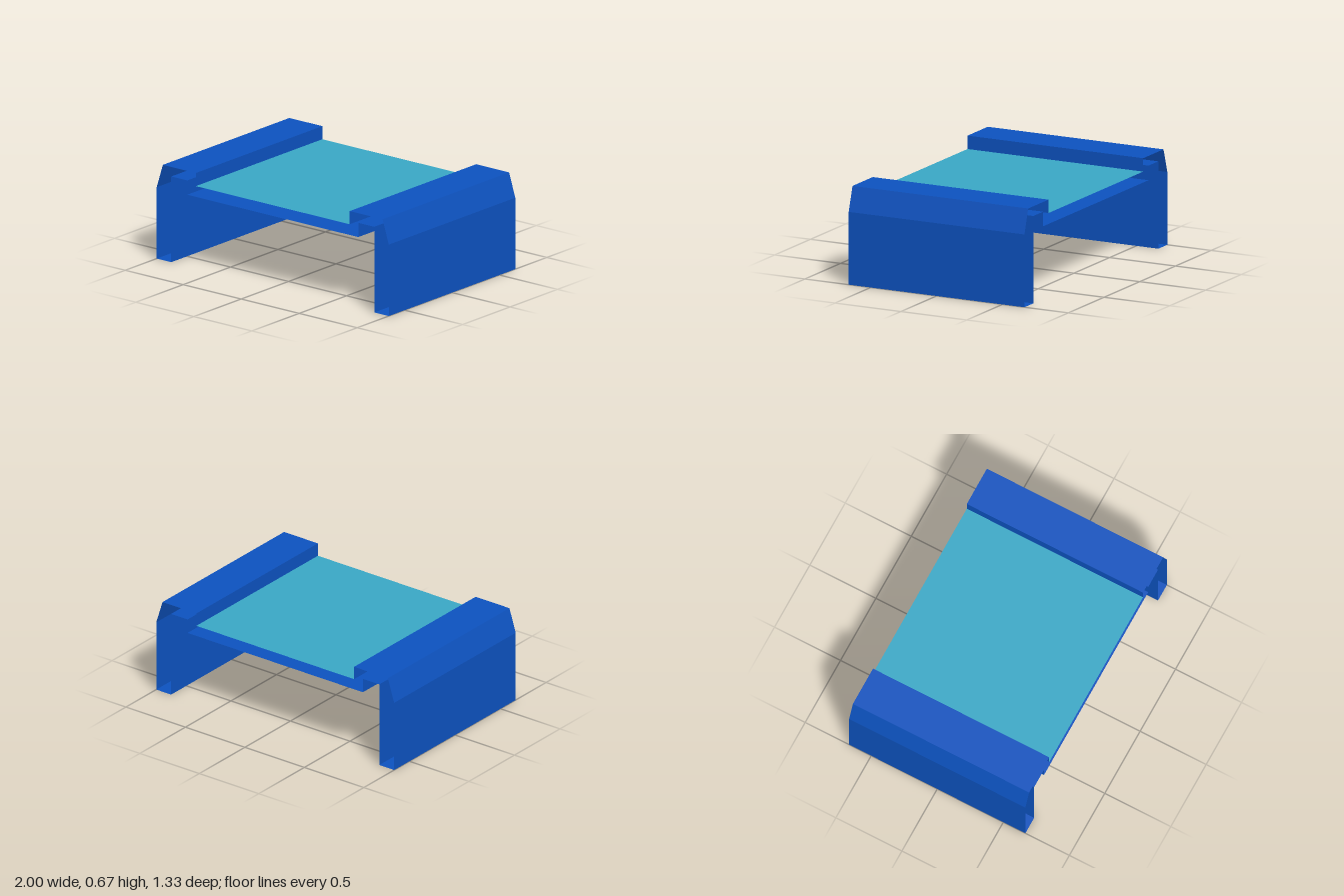
import * as THREE from 'three';

const HALF_LENGTH = 0.667;

// Folded sheet: a clockwise x-y path swept along z, open at both ends
function foldedSheet(name, path, material) {
  const pos = [];
  for (let i = 0; i < path.length - 1; i++) {
    const [ax, ay] = path[i], [bx, by] = path[i + 1], d = HALF_LENGTH;
    pos.push(ax, ay, d, bx, by, d, bx, by, -d);
    pos.push(ax, ay, d, bx, by, -d, ax, ay, -d);
  }
  const geometry = new THREE.BufferGeometry();
  geometry.setAttribute('position', new THREE.Float32BufferAttribute(pos, 3));
  geometry.computeVertexNormals();
  const mesh = new THREE.Mesh(geometry, material);
  mesh.name = name;
  return mesh;
}

// Mirror a path across x = 0, reversed so it stays clockwise
const mirror = (path) => path.map(([x, y]) => [-x, y]).reverse();

export function createModel() {
  const blue = new THREE.MeshStandardMaterial({ color: 0x0d52bf, side: THREE.DoubleSide });
  blue.name = 'frameBlue';
  const teal = new THREE.MeshStandardMaterial({ color: 0x3aa8c6, side: THREE.DoubleSide });
  teal.name = 'beltTeal';

  const group = new THREE.Group();
  group.name = 'conveyor';

  // Hollow side rail: inner lip, top, bevel, outer wall, foot, inner wall, ledge
  const rail = [
    [0.663, 0.575], [0.663, 0.667], [0.947, 0.667], [1, 0.5],
    [1, 0], [0.875, 0], [0.875, 0.6], [0.737, 0.6],
  ];
  group.add(foldedSheet('leftRail', rail, blue));
  group.add(foldedSheet('rightRail', mirror(rail), blue));

  // Shallow pan below the belt
  const pan = [[0.737, 0.6], [0.737, 0.5], [-0.737, 0.5], [-0.737, 0.6]];
  group.add(foldedSheet('pan', pan, blue));

  // Flat belt surface between the lips
  group.add(foldedSheet('belt', [[-0.663, 0.575], [0.663, 0.575]], teal));

  return group;
}
